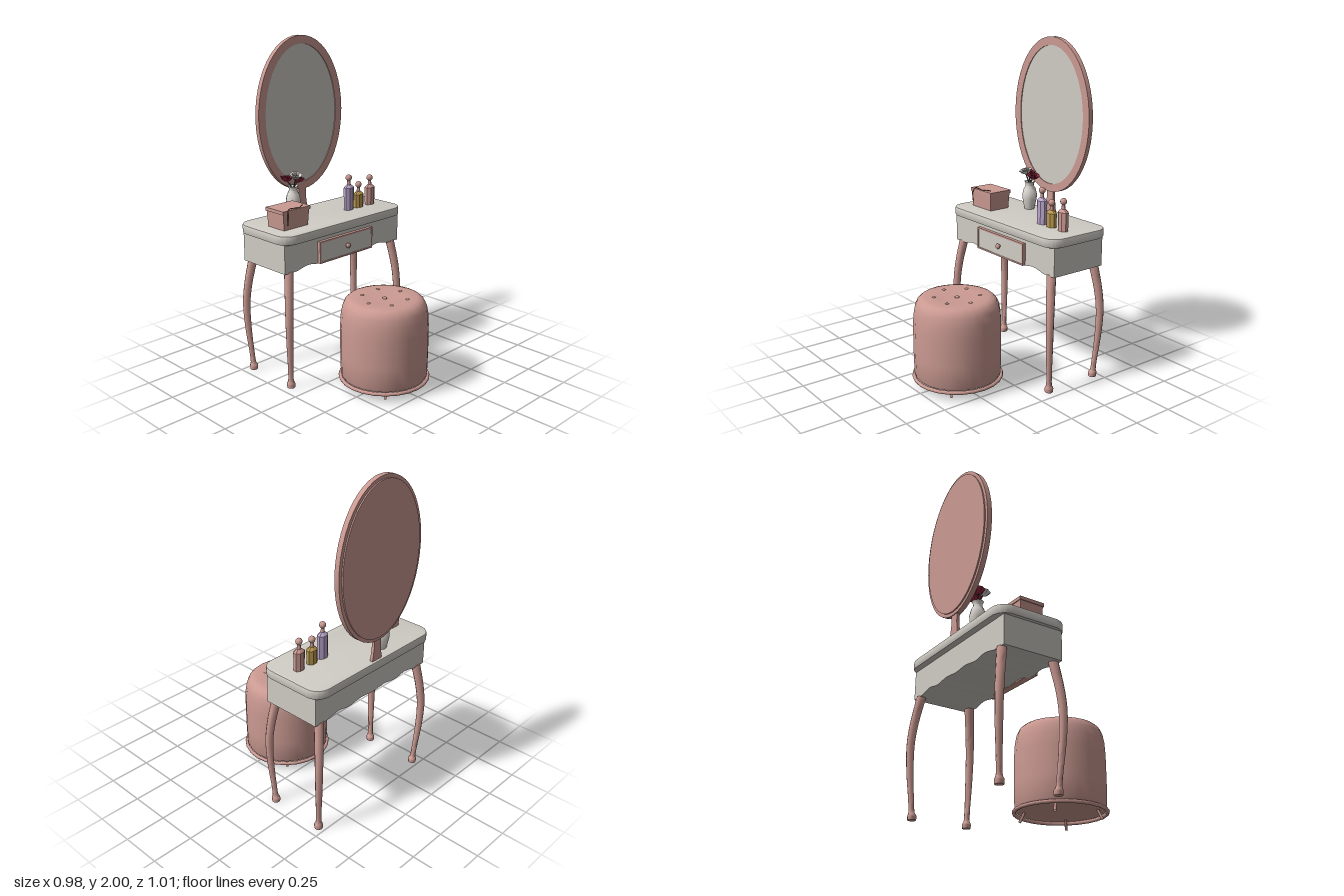
import * as THREE from 'three';
import { toCreasedNormals } from 'three/addons/utils/BufferGeometryUtils.js';

const mat = (name, color, extra = {}) => {
  const m = new THREE.MeshStandardMaterial({ color, ...extra });
  m.name = name;
  return m;
};

export function createModel() {
  const root = new THREE.Group();
  root.name = 'vanityTableSet';
  const pink = mat('dustyPink', 0xcb9a92, { side: THREE.DoubleSide });
  const stone = mat('warmGrey', 0xd0ccc5);
  const ivory = mat('ivory', 0xdedad4, { side: THREE.DoubleSide });
  const lilac = mat('lilac', 0xbba6cc);
  const gold = mat('gold', 0xba9850);
  const red = mat('deepRed', 0x962640, { side: THREE.DoubleSide });
  const brown = mat('brown', 0x6e4c30);
  const stemGrey = mat('stemGrey', 0x5c5a50);

  const group = (name, x = 0, y = 0, z = 0, parent = root) => {
    const g = new THREE.Group();
    g.name = name;
    g.position.set(x, y, z);
    parent.add(g);
    return g;
  };
  const add = (name, geo, material, x = 0, y = 0, z = 0, parent = root) => {
    const m = new THREE.Mesh(geo, material);
    m.name = name;
    m.position.set(x, y, z);
    parent.add(m);
    return m;
  };
  const flat = (geo) => toCreasedNormals(geo, 0.01);
  const crease = (geo) => toCreasedNormals(geo, 0.7);
  const lathe = (pts, n) =>
    crease(new THREE.LatheGeometry(pts.map(([r, y]) => new THREE.Vector2(r, y)), n));
  const tube = (pts, r, n = 5) => new THREE.TubeGeometry(
    new THREE.CatmullRomCurve3(pts.map((p) => new THREE.Vector3(...p))), 16, r, n);

  // Table top: rounded rectangle with a softened edge
  const w = 0.482, d = 0.212, r = 0.078;
  const slab = new THREE.Shape();
  slab.moveTo(-w + r, -d);
  slab.lineTo(w - r, -d).absarc(w - r, -d + r, r, -Math.PI / 2, 0);
  slab.lineTo(w, d - r).absarc(w - r, d - r, r, 0, Math.PI / 2);
  slab.lineTo(-w + r, d).absarc(-w + r, d - r, r, Math.PI / 2, Math.PI);
  slab.lineTo(-w, -d + r).absarc(-w + r, -d + r, r, Math.PI, Math.PI * 1.5);
  const slabGeo = new THREE.ExtrudeGeometry(slab, {
    depth: 0.039, bevelThickness: 0.008, bevelSize: 0.008, bevelSegments: 2, curveSegments: 8 });
  slabGeo.rotateX(-Math.PI / 2);
  add('tableTop', crease(slabGeo), stone, 0, 0.893, -0.285);

  // Apron with a scalloped lower edge
  const apron = new THREE.Shape();
  apron.moveTo(0.47, 0.89);
  apron.lineTo(-0.47, 0.89);
  apron.lineTo(-0.47, 0.713);
  apron.lineTo(-0.38, 0.713);
  apron.splineThru([[-0.29, 0.73], [-0.2, 0.718], [-0.1, 0.73], [0, 0.722], [0.1, 0.73],
    [0.2, 0.718], [0.29, 0.73], [0.38, 0.713]].map(([x, y]) => new THREE.Vector2(x, y)));
  apron.lineTo(0.47, 0.713);
  add('apron', crease(new THREE.ExtrudeGeometry(apron,
    { depth: 0.367, bevelEnabled: false, curveSegments: 5 })), stone, 0, 0, -0.467);

  // Drawer with a pink moulding and knob
  const drawer = group('drawer', 0, 0.788, -0.1);
  add('drawerPanel', new THREE.BoxGeometry(0.42, 0.124, 0.036), stone, 0, 0, 0, drawer);
  for (const s of [-1, 1]) {
    add('drawerRail', new THREE.BoxGeometry(0.436, 0.009, 0.042), pink, 0, s * 0.062, 0, drawer);
    add('drawerStile', new THREE.BoxGeometry(0.009, 0.124, 0.042), pink, s * 0.2135, 0, 0, drawer);
  }
  const stem = add('knobStem', new THREE.CylinderGeometry(0.007, 0.009, 0.03, 8), pink, 0, 0, 0.025, drawer);
  stem.rotation.x = Math.PI / 2;
  add('knob', new THREE.SphereGeometry(0.016, 10, 8), pink, 0, 0, 0.033, drawer).scale.z = 0.75;

  // Curved legs: radius and outward offset vary with height
  const path = new THREE.CatmullRomCurve3([[0.024, 0, 0], [0.025, 0.025, 0], [0.018, 0.04, 0.002],
    [0.016, 0.1, 0.006], [0.02, 0.27, 0.018], [0.023, 0.43, 0.022], [0.025, 0.56, 0.012],
    [0.028, 0.72, -0.012]].map((p) => new THREE.Vector3(...p)));
  const rows = 28;
  for (const sx of [-1, 1]) for (const sz of [-1, 1]) {
    const geo = new THREE.CylinderGeometry(1, 1, 1, 10, rows);
    const p = geo.attributes.position;
    for (let i = 0; i < p.count; i++) {
      const q = path.getPoint(p.getY(i) + 0.5);
      p.setXYZ(i, p.getX(i) * q.x + sx * q.z, q.y, p.getZ(i) * q.x + sz * q.z);
    }
    geo.computeVertexNormals();
    add('leg', crease(geo), pink, sx * 0.434, 0, -0.285 + sz * 0.174);
  }

  // Oval mirror, its frame, backing and post
  const oval = (rx, ry) => new THREE.Shape().absellipse(0, 0, rx, ry, 0, Math.PI * 2);
  const ovalGeo = (shape, depth) => crease(new THREE.ExtrudeGeometry(shape,
    { depth, bevelEnabled: false, curveSegments: 24 }));
  const mirror = group('mirror', 0, 1.533, 0);
  const ring = oval(0.333, 0.467);
  ring.holes.push(oval(0.281, 0.418));
  add('mirrorFrame', ovalGeo(ring, 0.03), pink, 0, 0, -0.495, mirror);
  add('mirrorGlass', ovalGeo(oval(0.283, 0.42), 0.008), stone, 0, 0, -0.478, mirror);
  add('mirrorBack', ovalGeo(oval(0.312, 0.447), 0.016), pink, 0, 0, -0.503, mirror);
  const post = new THREE.Shape([[-0.04, 0.935], [0.04, 0.935], [0.028, 1.02], [0.03, 1.1], [-0.03, 1.1],
    [-0.028, 1.02]].map(([x, y]) => new THREE.Vector2(x, y)));
  add('mirrorPost', new THREE.ExtrudeGeometry(post, { depth: 0.018, bevelEnabled: false }),
    pink, 0, 0, -0.49);

  // Keepsake box with lid and cord
  const box = group('keepsakeBox', -0.31, 0.94, -0.25);
  const body = new THREE.CylinderGeometry(Math.SQRT1_2, 0.66, 1, 4, 1);
  body.rotateY(Math.PI / 4);
  body.scale(0.196, 0.1, 0.148);
  add('boxBody', flat(body), pink, 0, 0.05, 0, box);
  add('boxLid', new THREE.BoxGeometry(0.206, 0.02, 0.158), pink, 0, 0.106, 0, box);
  add('cord', tube([[-0.072, 0.03, 0.083], [-0.074, 0.09, 0.085], [-0.06, 0.121, 0.075],
    [-0.02, 0.122, 0.073], [0.02, 0.119, 0.078], [0.045, 0.122, 0.062], [0.065, 0.12, 0.05]],
  0.0025), brown, 0, 0, 0, box);

  // Vase with three flowers
  const vase = group('vase', -0.125, 0.94, -0.415);
  add('vaseBody', lathe([[0, 0], [0.03, 0], [0.033, 0.01], [0.044, 0.065], [0.046, 0.09], [0.038, 0.125],
    [0.025, 0.15], [0.026, 0.16], [0.034, 0.176], [0.026, 0.168], [0, 0.15]], 10), ivory, 0, 0, 0, vase);
  for (const [name, m, x, y, z, tx, tz] of [
    ['redFlower', red, -0.032, 0.222, -0.022, 0.1, -0.15],
    ['redFlower', red, 0.038, 0.21, 0.005, 0.1, -0.2],
    ['whiteFlower', ivory, -0.004, 0.24, 0.03, 0.2, 0.1]]) {
    add('flowerStem', tube([[0, 0.14, 0], [x * 0.4, 0.18, z * 0.4], [x, y - 0.01, z]], 0.004),
      stemGrey, 0, 0, 0, vase);
    const flower = group(name, x, y, z, vase);
    flower.rotation.set(tx, 0.3, tz);
    add('outerPetals', flat(new THREE.LatheGeometry([[0.006, -0.018], [0.026, -0.008], [0.041, 0.012],
      [0.03, 0.006], [0.012, -0.004]].map(([a, b]) => new THREE.Vector2(a, b)), 7)), m, 0, 0, 0, flower);
    add('innerPetals', flat(new THREE.CylinderGeometry(0.024, 0.01, 0.022, 6, 1, true)),
      m, 0, 0.004, 0, flower);
    add('flowerHeart', new THREE.IcosahedronGeometry(0.011, 0), m, 0, 0.01, 0, flower);
  }

  // Faceted perfume bottles with round stoppers
  for (const [name, m, x, h] of [['lilacBottle', lilac, 0.185, 0.14],
    ['goldBottle', gold, 0.27, 0.083], ['pinkBottle', pink, 0.37, 0.11]]) {
    const b = group(name, x, 0.94, -0.25);
    const facet = (top, bottom, height) => {
      const g = new THREE.CylinderGeometry(top, bottom, height, 8);
      g.rotateY(Math.PI / 8);
      g.scale(0.037, 1, 0.027);
      return flat(g);
    };
    add('bottleBody', facet(1, 0.96, h), m, 0, h / 2, 0, b);
    add('bottleShoulder', facet(0.4, 1, 0.018), m, 0, h + 0.009, 0, b);
    add('bottleNeck', new THREE.CylinderGeometry(0.009, 0.012, 0.035, 8), pink, 0, h + 0.03, 0, b);
    add('stopper', new THREE.SphereGeometry(0.02, 10, 8), pink, 0, h + 0.061, 0, b);
  }

  // Round upholstered stool
  const stool = group('stool', 0, 0, 0.232);
  add('cushion', lathe([[0, 0.06], [0.25, 0.06], [0.257, 0.075], [0.26, 0.2], [0.26, 0.37], [0.256, 0.44],
    [0.247, 0.49], [0.234, 0.52], [0.215, 0.537], [0.19, 0.544], [0.12, 0.54], [0, 0.532]], 24),
  pink, 0, 0, 0, stool);
  const rim = new THREE.TorusGeometry(0.26, 0.011, 8, 24);
  rim.rotateX(Math.PI / 2);
  add('baseRing', rim, pink, 0, 0.052, 0, stool);
  const button = (x, y, z, size) =>
    add('button', new THREE.SphereGeometry(size, 6, 5), pink, x, y, z, stool).scale.set(1, 0.6, 1);
  button(0, 0.535, 0, 0.015);
  for (let i = 0; i < 6; i++) {
    const a = (i * Math.PI) / 3;
    button(Math.cos(a) * 0.135, 0.54, Math.sin(a) * 0.135, 0.012);
  }
  for (const sx of [-1, 1]) for (const sz of [-1, 1]) {
    add('stoolFoot', tube([[sx * 0.142, 0.07, sz * 0.142], [sx * 0.152, 0.038, sz * 0.152],
      [sx * 0.163, 0.007, sz * 0.163]], 0.008, 8), pink, 0, 0, 0, stool);
  }
  return root;
}
